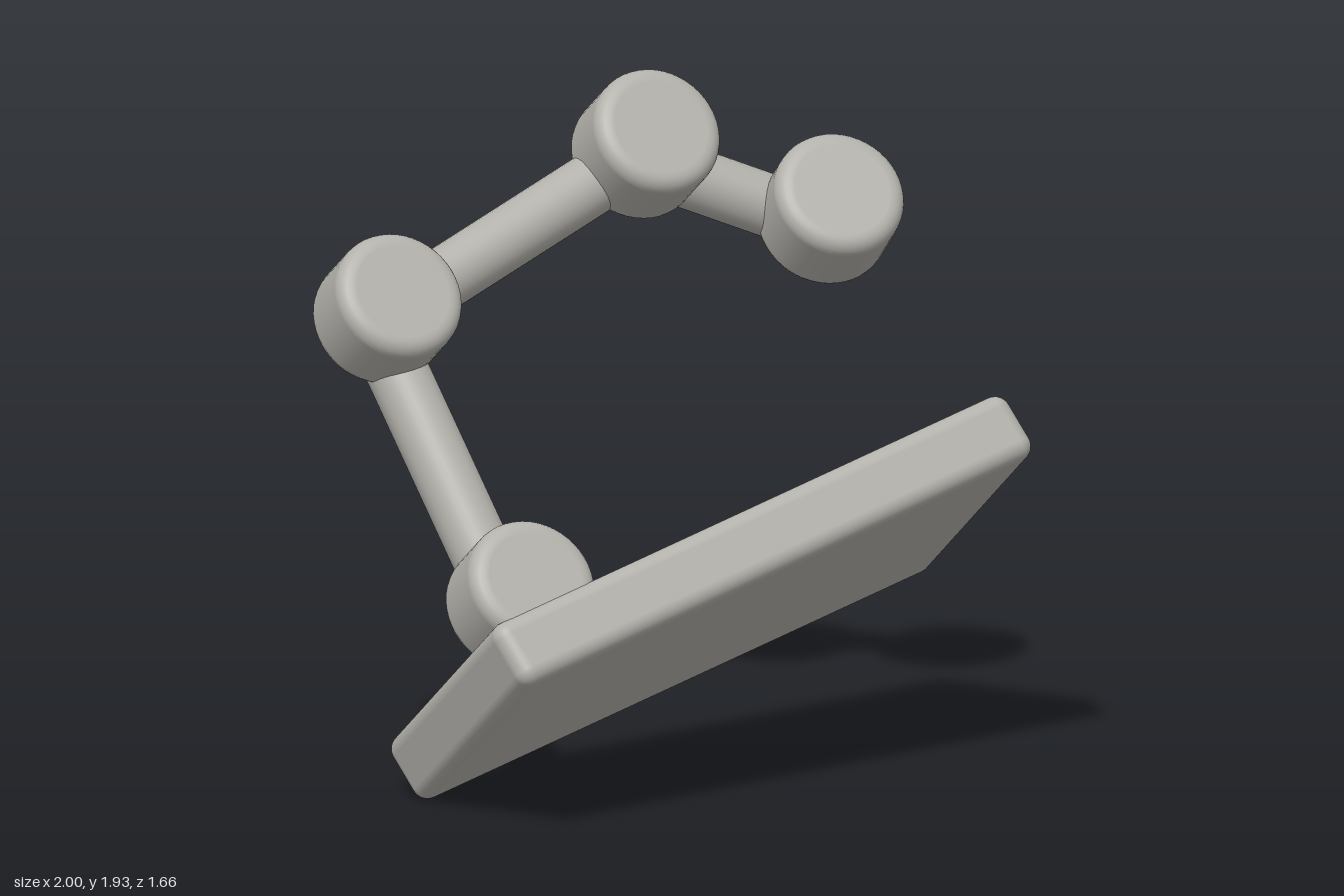
import * as THREE from 'three';
import { RoundedBoxGeometry } from 'three/addons/geometries/RoundedBoxGeometry.js';

const Y = new THREE.Vector3(0, 1, 0);

// Disc-like cylinder with rounded rims, axis along y
function roundedCylinder(radius, height, bevel) {
  const h = height / 2, inner = radius - bevel;
  const pts = [new THREE.Vector2(0, -h), new THREE.Vector2(inner - 0.005, -h)];
  for (const side of [-1, 1]) {
    for (let i = 0; i <= 6; i++) {
      const a = (side < 0 ? i - 6 : i) / 6 * Math.PI / 2;
      pts.push(new THREE.Vector2(inner + bevel * Math.cos(a), side * (h - bevel) + bevel * Math.sin(a)));
    }
  }
  pts.push(new THREE.Vector2(inner - 0.005, h), new THREE.Vector2(0, h));
  return new THREE.LatheGeometry(pts, 48);
}

export function createModel() {
  const model = new THREE.Group();
  model.name = 'tiltedArm';
  const grey = new THREE.MeshStandardMaterial({ color: 0xb3b1ab });
  grey.name = 'warmGrey';

  // Everything is built upright, then tilted as a whole
  const arm = new THREE.Group();
  arm.name = 'armOnBase';
  model.add(arm);

  function add(name, geometry, position, axis) {
    const mesh = new THREE.Mesh(geometry, grey);
    mesh.name = name;
    mesh.position.copy(position);
    if (axis) mesh.quaternion.setFromUnitVectors(Y, axis.clone().normalize());
    arm.add(mesh);
  }

  // Base slab
  add('base', new RoundedBoxGeometry(1.8, 0.2, 0.88, 5, 0.045), new THREE.Vector3());

  // Joints, from the base to the tip
  const joints = [
    new THREE.Vector3(-0.69, 0.171, 0.29),
    new THREE.Vector3(-0.589, 1.066, 0.295),
    new THREE.Vector3(0.391, 1.183, 0.295),
    new THREE.Vector3(0.798, 0.797, 0.29),
  ];
  const names = ['shoulderJoint', 'elbowJoint', 'wristJoint', 'tipJoint'];
  const jointGeometry = roundedCylinder(0.187, 0.25, 0.045);
  joints.forEach((p, i) => {
    const axis = i === 3 ? new THREE.Vector3(-0.056, 0.081, 0.99) : new THREE.Vector3(0, 0, 1);
    add(names[i], jointGeometry, p, axis);
  });

  // Links run behind the joints and overlap at the bends
  const linkNames = ['lowerLink', 'upperLink', 'endLink'];
  const extend = [[0.03, 0.06], [0.06, 0.042], [0.042, 0.03]];
  linkNames.forEach((name, i) => {
    const a = joints[i].clone(), b = joints[i + 1].clone();
    a.z -= 0.1;
    b.z -= 0.1;
    const dir = b.clone().sub(a).normalize();
    a.addScaledVector(dir, -extend[i][0]);
    b.addScaledVector(dir, extend[i][1]);
    const link = new THREE.CylinderGeometry(0.088, 0.088, a.distanceTo(b), 32);
    add(name, link, a.clone().add(b).multiplyScalar(0.5), dir);
  });

  // Tilt: long side, up and front directions of the base
  const long = new THREE.Vector3(0.8, 0.25, -0.545).normalize();
  const front = new THREE.Vector3(0.336, 0.564, 0.755);
  front.addScaledVector(long, -front.dot(long)).normalize();
  const up = new THREE.Vector3().crossVectors(front, long);
  arm.quaternion.setFromRotationMatrix(new THREE.Matrix4().makeBasis(long, up, front));
  arm.position.set(0.1, 0.53, 0);
  return model;
}
